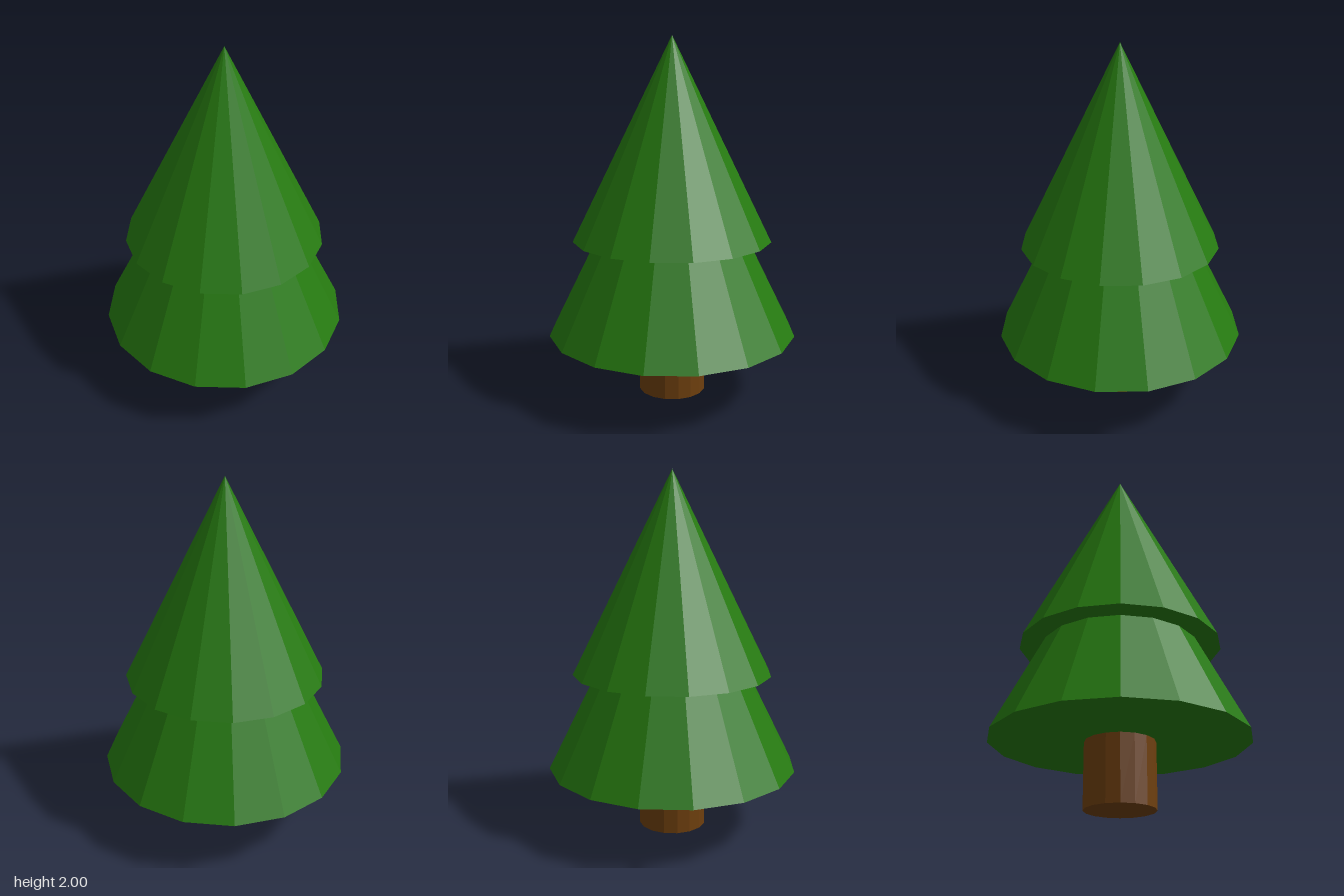
import * as THREE from 'three';

export function createModel() {
  const SIDES = 16;
  const tree = new THREE.Group();
  tree.name = 'pineTree';

  const foliage = new THREE.MeshStandardMaterial({ color: 0x267a10, flatShading: true });
  foliage.name = 'foliage green';
  const bark = new THREE.MeshStandardMaterial({ color: 0x6e3f0e, flatShading: true });
  bark.name = 'bark brown';

  // Places a part so that its base sits at the given height
  function addPart(name, geometry, material, base, height) {
    const mesh = new THREE.Mesh(geometry, material);
    mesh.name = name;
    mesh.position.y = base + height / 2;
    tree.add(mesh);
  }

  // Trunk
  addPart('trunk', new THREE.CylinderGeometry(0.19, 0.19, 0.355, SIDES), bark, 0, 0.355);

  // Two overlapping tiers of branches
  const tiers = [
    { name: 'lowerBranches', radius: 0.698, base: 0.355, height: 1.39 },
    { name: 'upperBranches', radius: 0.556, base: 0.89, height: 1.11 },
  ];
  for (const { name, radius, base, height } of tiers) {
    addPart(name, new THREE.ConeGeometry(radius, height, SIDES), foliage, base, height);
  }

  return tree;
}
